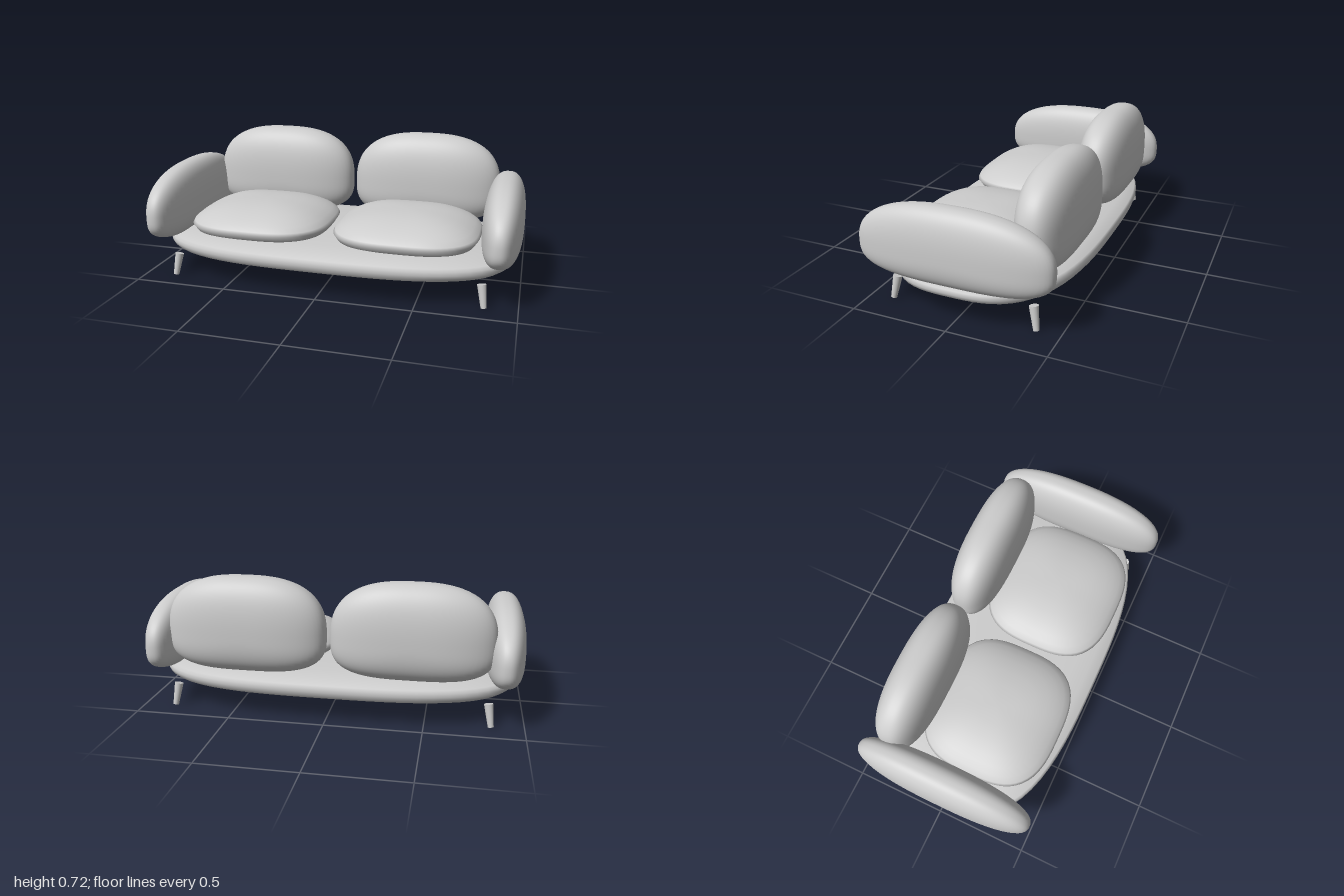
import * as THREE from 'three';
import { mergeVertices } from 'three/addons/utils/BufferGeometryUtils.js';

// Weld seams and recompute smooth normals
function smooth(geometry) {
  geometry.deleteAttribute('uv');
  geometry.deleteAttribute('normal');
  const welded = mergeVertices(geometry, 1e-5);
  welded.computeVertexNormals();
  return welded;
}

// Soft pillow: a sphere pushed out to a superellipsoid inside the box min..max.
// axis is the thin direction, up/down are the outline exponents above and below
// the widest point, edge is the exponent of the rim.
function pillow(min, max, center, axis, up, down, edge) {
  const g = new THREE.SphereGeometry(1, 64, 48);
  const pos = g.attributes.position;
  for (let i = 0; i < pos.count; i++) {
    const d = [pos.getX(i), pos.getY(i), pos.getZ(i)];
    const [a, b] = [0, 1, 2].filter((k) => k !== axis);
    const n = d[1] > 0 ? up : down;
    const outline = (Math.abs(d[a]) ** n + Math.abs(d[b]) ** n) ** (1 / n);
    const size = (outline ** edge + Math.abs(d[axis]) ** edge) ** (1 / edge);
    const p = d.map((v, k) => {
      const u = v / size;
      return center[k] + u * (u > 0 ? max[k] - center[k] : center[k] - min[k]);
    });
    pos.setXYZ(i, ...p);
  }
  return smooth(g);
}

// Flat pad: a lathed [scale, y] profile stretched to a rounded-rectangle plan
function pad(profile, halfX, halfZ, n) {
  const g = new THREE.LatheGeometry(profile.map(([r, y]) => new THREE.Vector2(r, y)), 80);
  const pos = g.attributes.position;
  for (let i = 0; i < pos.count; i++) {
    const x = pos.getX(i), z = pos.getZ(i);
    const r = Math.hypot(x, z);
    const s = r < 1e-6 ? 0 : r / (Math.abs(x) ** n + Math.abs(z) ** n) ** (1 / n);
    pos.setXYZ(i, x * s * halfX, pos.getY(i), z * s * halfZ);
  }
  return smooth(g);
}

export function createModel() {
  const sofa = new THREE.Group();
  sofa.name = 'sofa';
  const fabric = new THREE.MeshStandardMaterial({ color: 0xcccccc });
  fabric.name = 'light grey';

  const add = (name, geometry, x = 0, y = 0, z = 0) => {
    const mesh = new THREE.Mesh(geometry, fabric);
    mesh.name = name;
    mesh.position.set(x, y, z);
    sofa.add(mesh);
    return mesh;
  };

  // Wide base with bevelled rim
  add('base', pad([
    [0, 0.098], [0.5, 0.1], [0.84, 0.11], [0.965, 0.134], [0.99, 0.15], [1, 0.17],
    [0.995, 0.188], [0.98, 0.203], [0.87, 0.225], [0.7, 0.238], [0.4, 0.243], [0, 0.244],
  ], 0.96, 0.493, 3));

  const seat = pad([
    [0, 0.235], [0.6, 0.236], [0.85, 0.24], [0.95, 0.255], [1, 0.285], [0.975, 0.302],
    [0.9, 0.325], [0.8, 0.345], [0.68, 0.364], [0.5, 0.382], [0.28, 0.392], [0, 0.395],
  ], 0.385, 0.36, 3);

  const back = pillow([-0.417, 0.22, -0.143], [0.417, 0.72, 0.143], [0, 0.42, 0], 2, 2.6, 3.2, 2.5);
  const arm = pillow([-0.105, 0.187, -0.495], [0.105, 0.57, 0.495], [0, 0.34, 0], 0, 2.4, 3.2, 2.5);

  for (const side of [-1, 1]) {
    const label = side > 0 ? 'left' : 'right';
    add(label + 'SeatCushion', seat, side * 0.4, 0, 0.08);
    add(label + 'BackCushion', back, side * 0.428, 0, -0.34);
    add(label + 'Armrest', arm, side * 0.893, 0, 0);

    // Splayed tapered legs
    for (const end of [-1, 1]) {
      const top = new THREE.Vector3(side * 0.817, 0.118, end * 0.36);
      const foot = new THREE.Vector3(side * 0.834, 0.002, end * 0.38);
      const axis = top.clone().sub(foot);
      const leg = add(label + (end > 0 ? 'FrontLeg' : 'BackLeg'),
        new THREE.CylinderGeometry(0.023, 0.015, axis.length(), 24));
      leg.position.copy(top).add(foot).multiplyScalar(0.5);
      leg.quaternion.setFromUnitVectors(new THREE.Vector3(0, 1, 0), axis.normalize());
    }
  }
  return sofa;
}
